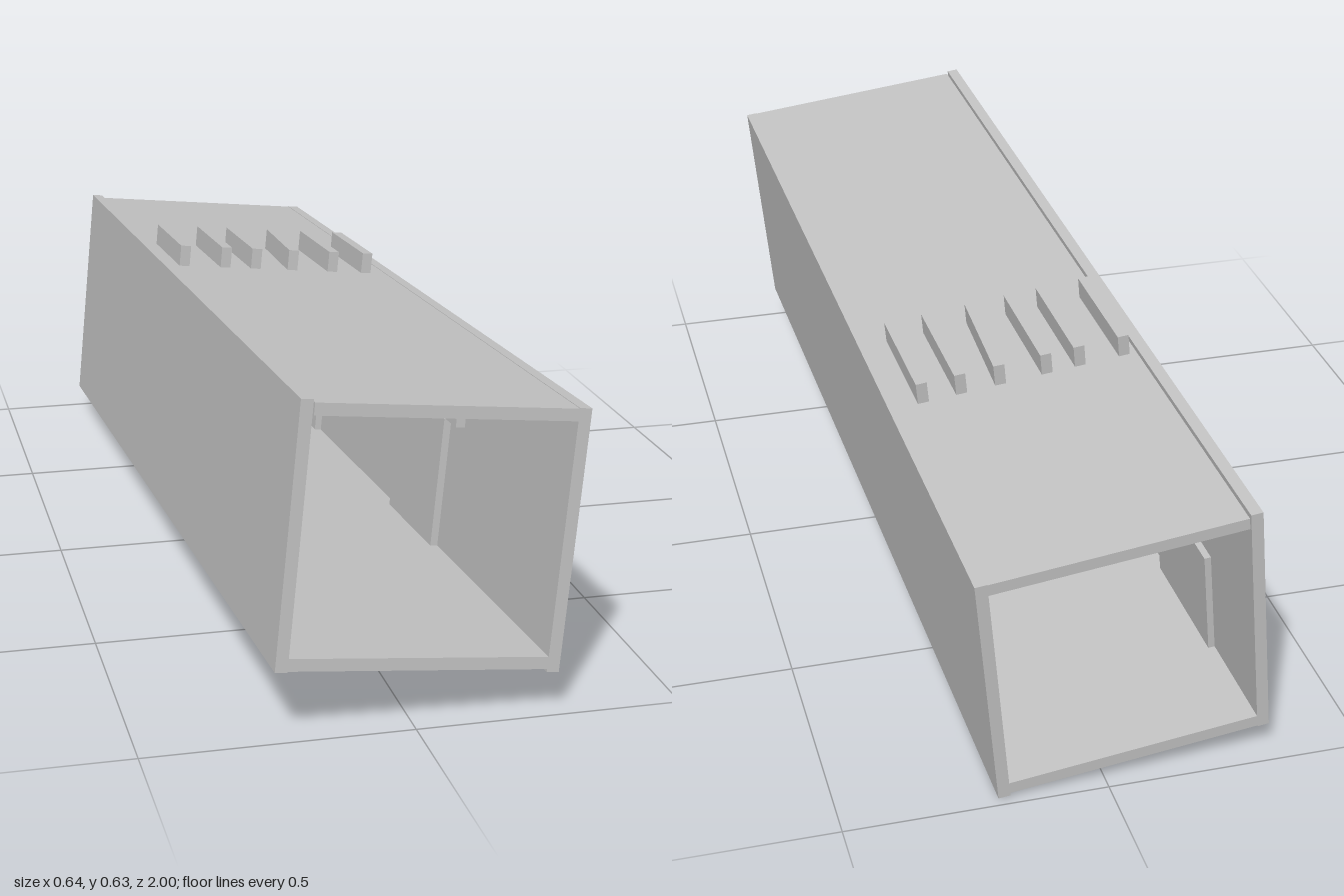
import * as THREE from 'three';

export function createModel() {
  const model = new THREE.Group();
  const grey = new THREE.MeshStandardMaterial({ color: 0xc4c4c4 });
  grey.name = 'light grey';

  // The whole duct leans slightly, so it is built upright and then rotated
  const duct = new THREE.Group();
  duct.name = 'duct';
  model.add(duct);

  // Box given by its ranges along x, y and z
  function slab(name, [x0, x1], [y0, y1], [z0, z1]) {
    const mesh = new THREE.Mesh(new THREE.BoxGeometry(x1 - x0, y1 - y0, z1 - z0), grey);
    mesh.position.set((x0 + x1) / 2, (y0 + y1) / 2, (z0 + z1) / 2);
    mesh.name = name;
    duct.add(mesh);
    return mesh;
  }

  // Four long wall boards, overlapping at the corners
  const length = [-0.986, 0.986];
  slab('rightWall', [-0.266, -0.243], [-0.244, 0.248], length);
  slab('leftWall', [0.241, 0.264], [-0.248, 0.243], length);
  slab('topBoard', [-0.2405, 0.241], [0.219, 0.242], length);
  slab('bottomBoard', [-0.243, 0.241], [-0.242, -0.2185], length);

  // Row of ribs passing through the top board
  [-0.215, -0.124, -0.056, 0.033, 0.118, 0.195].forEach((x, i) => {
    const rib = slab('topRib', [x - 0.011, x + 0.011], [0.211, 0.286], [-0.398, -0.153]);
    if (i === 3) rib.rotation.y = -0.05;
  });

  // Plates and blocks on the inside of the left wall
  slab('leftLowerPlate', [0.226, 0.241], [-0.2185, 0.05], [0.08, 0.36]);
  slab('leftLowerPlate', [0.226, 0.241], [-0.2185, 0.04], [-0.79, -0.52]);
  slab('leftUpperBlock', [0.222, 0.241], [0.055, 0.135], [0.15, 0.44]);
  slab('leftUpperBlock', [0.222, 0.241], [0.06, 0.145], [-0.78, -0.48]);

  // Plates and block on the inside of the right wall
  slab('rightLowerPlate', [-0.243, -0.23], [-0.2185, 0.03], [0.2, 0.48]);
  slab('rightLowerPlate', [-0.243, -0.23], [-0.2185, 0.0], [-0.77, -0.5]);
  slab('rightUpperBlock', [-0.243, -0.224], [0.07, 0.15], [0.2, 0.46]);

  // Lean of the duct, from its up and forward directions
  const forward = new THREE.Vector3(0.0319, 0.0395, 0.9987).normalize();
  const side = new THREE.Vector3(0.1037, 0.994, -0.0427).cross(forward).normalize();
  const up = forward.clone().cross(side);
  duct.quaternion.setFromRotationMatrix(new THREE.Matrix4().makeBasis(side, up, forward));
  duct.position.y = 0.314;

  return model;
}
